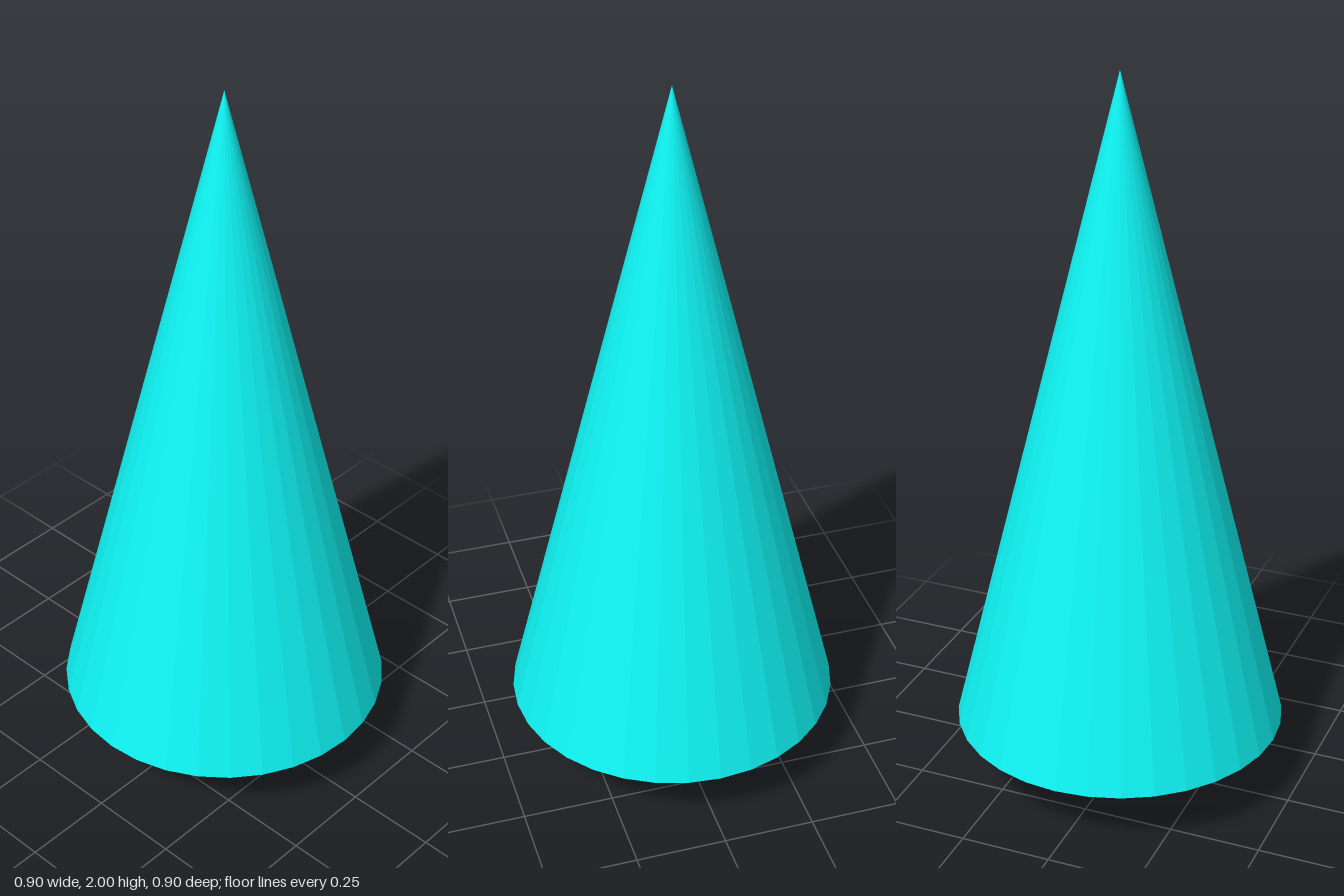
import * as THREE from 'three';

const SIDES = 32;
const BASE_Y = 0.185; // underside of the foliage

export function createModel() {
  const tree = new THREE.Group();
  tree.name = 'tree';

  // Faceted foliage cone with a closed underside
  const height = 2 - BASE_Y;
  const foliage = new THREE.Mesh(
    new THREE.ConeGeometry(0.452, height, SIDES),
    new THREE.MeshStandardMaterial({ color: 0x0ff5f5, flatShading: true })
  );
  foliage.name = 'foliage';
  foliage.position.y = BASE_Y + height / 2;

  // Short trunk, meeting the underside of the foliage
  const trunk = new THREE.Mesh(
    new THREE.CylinderGeometry(0.045, 0.045, BASE_Y, SIDES),
    new THREE.MeshStandardMaterial({ color: 0xcccccc, flatShading: true })
  );
  trunk.name = 'trunk';
  trunk.position.y = BASE_Y / 2;

  tree.add(foliage, trunk);
  return tree;
}
